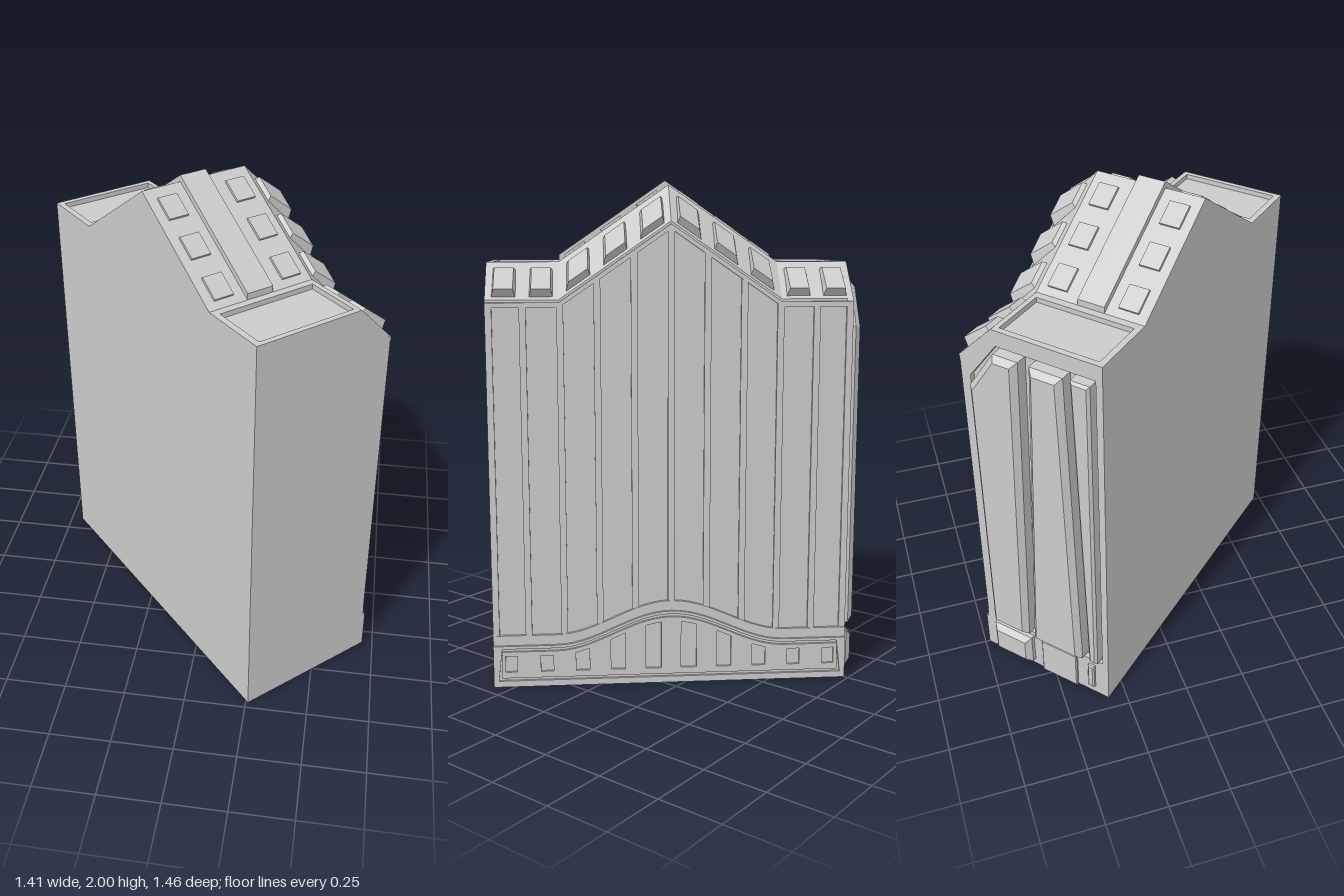
import * as THREE from 'three';

const mat = new THREE.MeshStandardMaterial({ color: 0xcccccc, flatShading: true });
const L = 0.71, D = 0.297, BREAK = 0.15, FOOT = 0.43, FLAT = 1.68, PEAK = 1.975, DROP = 0.15;
const BAY = 2 * L / 10;

// Height of the upper roof line and of the arched base band along the facade
const roofY = x => FLAT + (PEAK - FLAT) * Math.max(0, 1 - Math.abs(x) / FOOT);
const bandY = x => 0.17 + (Math.abs(x) < 0.46 ? 0.065 * (1 + Math.cos(Math.PI * x / 0.46)) : 0);

const toShape = pts => new THREE.Shape(pts.map(p => new THREE.Vector2(p[0], p[1])));
const toHole = pts => new THREE.Path(pts.map(p => new THREE.Vector2(p[0], p[1])));

function extrude(shape, z0, z1, bevel = 0) {
  const g = new THREE.ExtrudeGeometry(shape, {
    depth: z1 - z0 - bevel, bevelEnabled: bevel > 0, bevelSegments: 1,
    bevelSize: bevel, bevelThickness: bevel, bevelOffset: -bevel
  });
  return g.translate(0, 0, z0);
}

// Moves every vertex of a geometry by a rule
function warp(g, rule) {
  const p = g.attributes.position, v = new THREE.Vector3();
  for (let i = 0; i < p.count; i++) {
    rule(v.fromBufferAttribute(p, i));
    p.setXYZ(i, v.x, v.y, v.z);
  }
  g.computeVertexNormals();
  return g;
}

export function createModel() {
  const building = new THREE.Group();
  building.name = 'building';
  const add = (name, g) => {
    const m = new THREE.Mesh(g, mat);
    m.name = name;
    building.add(m);
    return m;
  };

  // Gabled body in slabs; the middle slab has sunken flat roofs at both ends
  const E = L - 0.022;
  const full = [[-L, 0], [E, 0], [E, FLAT], [FOOT, FLAT], [0, PEAK], [-FOOT, FLAT], [-L, FLAT]];
  const dip = [[-L, 0], [E, 0], [E, FLAT - 0.02], [FOOT + 0.03, FLAT - 0.02], [FOOT + 0.03, FLAT],
    [FOOT, FLAT], [0, PEAK], [-FOOT, FLAT], [-FOOT - 0.03, FLAT], [-FOOT - 0.03, FLAT - 0.02],
    [-E, FLAT - 0.02], [-E, FLAT], [-L, FLAT]];
  add('rearWall', extrude(toShape(full), -D, -D + 0.025));
  add('bodyWithFlatRoofs', extrude(toShape(dip), -D + 0.025, BREAK - 0.02));
  add('roofRim', extrude(toShape(full), BREAK - 0.02, BREAK));
  add('facadeBodyWithSlopedRoof', warp(extrude(toShape(full), BREAK, D - 0.01), v => {
    if (v.z > BREAK + 0.05 && v.y > 1) v.y -= DROP - 0.01;
  }));

  // Eave strip following the lower roof line
  const edge = [-L, -FOOT, 0, FOOT, L];
  const eaveTop = edge.map(x => [x, roofY(x) - DROP]);
  const eaveLow = edge.map(x => [x, roofY(x) - DROP - 0.02]).reverse();
  add('eaveStrip', extrude(toShape([...eaveTop, ...eaveLow].reverse()), D - 0.03, D + 0.002));

  // Facade pilasters cut to the roof line
  for (let i = -5; i <= 5; i++) {
    const x = THREE.MathUtils.clamp(i * BAY, -L + 0.013, L - 0.013);
    const g = new THREE.BoxGeometry(0.026, 1, 0.02, 2, 1, 1).translate(x, 0.5, D - 0.01);
    add('pilaster', warp(g, v => { if (v.y > 0.5) v.y = roofY(v.x) - DROP - 0.005; }));
  }

  // Arched base band: backing layer plus a front layer pierced by windows
  const curve = off => Array.from({ length: 41 }, (_, i) => {
    const x = L - i * 2 * L / 40;
    return [x, bandY(x) + off];
  });
  add('baseBand', extrude(toShape([[-L, 0], [L, 0], ...curve(0.04)]), D - 0.02, D + 0.002));
  const frame = toShape([[-L, 0], [L, 0], ...curve(0)]);
  const inset = L - 0.02;
  frame.holes.push(toHole([[-inset, 0.025], [inset, 0.025],
    ...curve(-0.012).filter(p => Math.abs(p[0]) < inset).map(p => [p[0], p[1]])]));
  add('bandFrame', extrude(frame, D - 0.01, D + 0.012));
  const panel = toShape([[-inset + 0.012, 0.037], [inset - 0.012, 0.037],
    ...curve(-0.024).filter(p => Math.abs(p[0]) < inset - 0.012)]);
  for (let i = 0; i < 10; i++) {
    const x = (i - 4.5) * BAY, w = 0.032 - 0.002 * Math.abs(i - 4.5);
    panel.holes.push(toHole([[x - w, 0.062], [x + w, 0.062],
      [x + w, bandY(x + w) - 0.042], [x - w, bandY(x - w) - 0.042]]));
  }
  add('windowPanel', extrude(panel, D - 0.01, D + 0.012));

  // Tapered dormers on the sloped front roof; they lean with the roof line
  for (let i = 0; i < 10; i++) {
    const x = (i - 4.5) * BAY;
    const g = new THREE.BoxGeometry(0.1, 0.7, 1);
    add('dormer', warp(g, v => {
      const out = v.z > 0, k = out ? 0.74 : 1;
      const px = x + v.x * k, up = 0.47 + v.y * (out ? 0.85 : 1);
      const d = out ? (v.y < 0 ? 0.036 : 0.02) : -0.02;
      v.set(px, roofY(px) - DROP + DROP * up + d * 0.707, D - DROP * up + d * 0.707);
    }));
  }

  // Raised strip over the ridge and skylights on either side
  const lift = 0.025;
  add('ridgeStrip', extrude(toShape([[-FOOT, FLAT - 0.01], [FOOT, FLAT - 0.01], [FOOT, FLAT + lift],
    [0, PEAK + lift], [-FOOT, FLAT + lift]]), -0.135, -0.025));
  const pitch = Math.atan2(PEAK - FLAT, FOOT);
  for (const side of [-1, 1]) {
    for (const z of [-0.218, 0.075]) {
      for (const x of [0.078, 0.22, 0.363]) {
        const m = add('skylight', new THREE.BoxGeometry(0.095, 0.02, 0.08));
        m.position.set(side * x, roofY(x), z);
        m.rotation.z = -side * pitch;
      }
    }
  }

  // Decorated end wall: outlines run along the wall, then turn to face sideways
  const end = (name, shape, x0, x1, bevel) =>
    add(name, extrude(shape, x0, x1, bevel).rotateY(Math.PI / 2));
  const rim = toShape([[-D, 0], [D, 0], [D, FLAT], [-BREAK, FLAT], [-D, FLAT - DROP]]);
  rim.holes.push(toHole([[-0.258, 0.195], [0.27, 0.195], [0.27, 1.615], [-0.135, 1.615], [-0.258, 1.45]]));
  end('endFrame', rim, E - 0.002, L);
  const endPanels = [
    ['widePanel', [[-0.242, 0.21], [-0.068, 0.21], [-0.026, 1.6], [-0.13, 1.6], [-0.242, 1.43]], 0.757, 0.022],
    ['taperedPanel', [[-0.042, 0.21], [0.192, 0.21], [0.156, 1.6], [0.02, 1.6]], 0.757, 0.022],
    ['narrowPanel', [[0.222, 0.21], [0.26, 0.21], [0.26, 1.6], [0.182, 1.6]], 0.74, 0.01],
    ['lowerWindow', [[-0.25, 0.03], [-0.065, 0.03], [-0.065, 0.175], [-0.25, 0.175]], 0.75, 0.022],
    ['door', [[-0.02, 0], [0.15, 0], [0.15, 0.18], [-0.02, 0.18]], 0.722, 0.004],
    ['lowerSlot', [[0.205, 0.04], [0.235, 0.04], [0.235, 0.165], [0.205, 0.165]], 0.725, 0.006]
  ];
  for (const [name, pts, front, bevel] of endPanels) end(name, toShape(pts), 0.67, front, bevel);

  // Turn the building to its diagonal stance
  building.rotation.y = 2.311;
  const root = new THREE.Group();
  root.name = 'model';
  root.add(building);
  return root;
}
